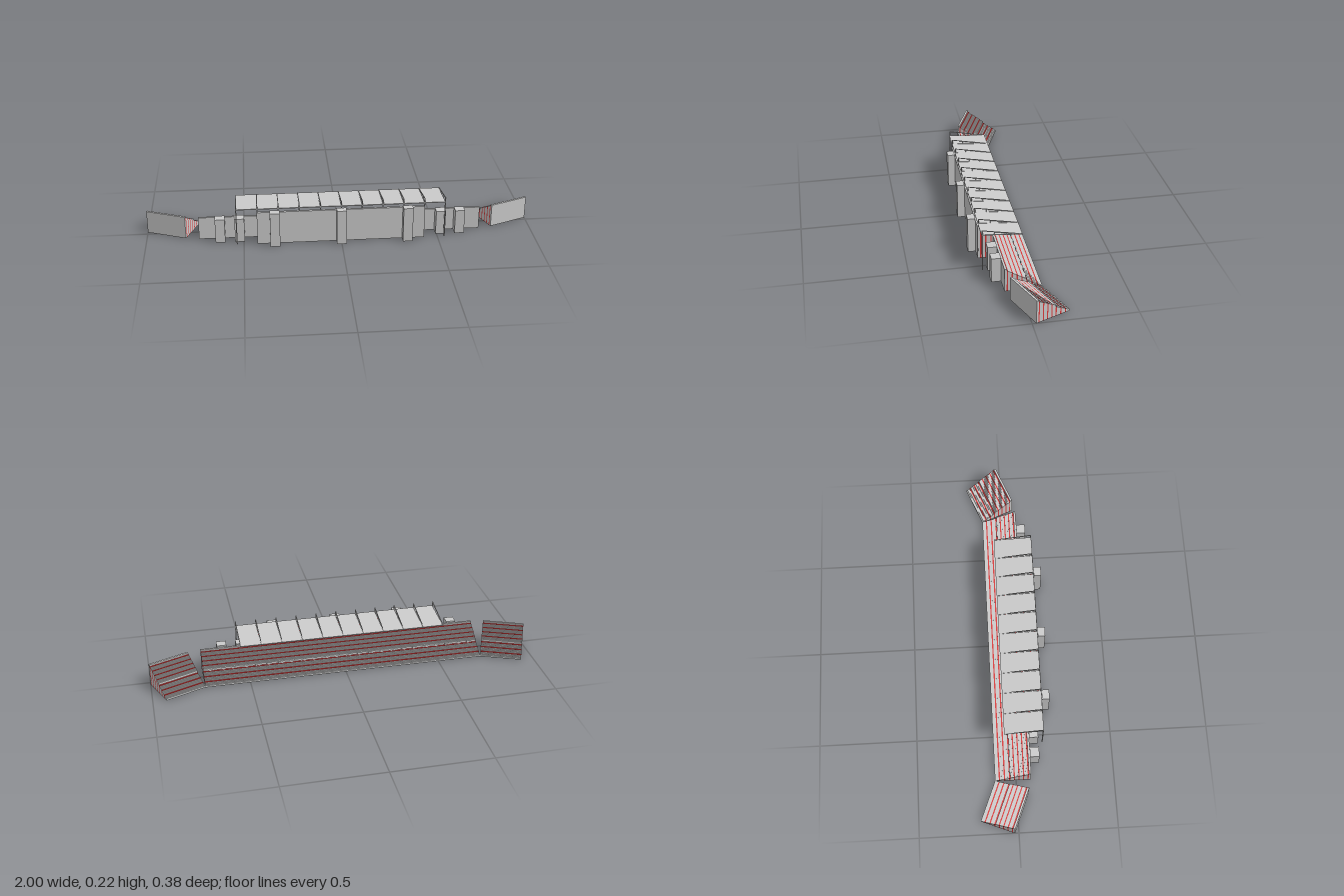
import * as THREE from 'three';

const grey = new THREE.MeshStandardMaterial({ color: 0xcccccc });
const red = new THREE.MeshStandardMaterial({ color: 0xd83a3a });

// Box given by its minimum and maximum corners
function box(parent, name, x0, x1, y0, y1, z0, z1, mat = grey) {
  const mesh = new THREE.Mesh(new THREE.BoxGeometry(x1 - x0, y1 - y0, z1 - z0), mat);
  mesh.position.set((x0 + x1) / 2, (y0 + y1) / 2, (z0 + z1) / 2);
  mesh.name = name;
  parent.add(mesh);
  return mesh;
}

// Bar in the y-z plane between two points [y, z], with its top face along the line
function bar(parent, name, x, width, thick, [ya, za], [yb, zb]) {
  const length = Math.hypot(yb - ya, zb - za);
  const mesh = new THREE.Mesh(new THREE.BoxGeometry(width, thick, length), grey);
  mesh.position.set(x, (ya + yb) / 2, (za + zb) / 2);
  mesh.rotation.x = -Math.atan2(yb - ya, zb - za);
  mesh.name = name;
  parent.add(mesh);
}

// Solid rows of terracing, every fourth one red
function tier(parent, name, x0, x1, z0, z1, yLow, yHigh, count, redIndex) {
  const depth = (z1 - z0) / count;
  for (let i = 0; i < count; i++) {
    const y = yLow + (yHigh - yLow) * i / (count - 1);
    const isRed = i % 4 === redIndex;
    box(parent, isRed ? name + 'SeatRow' : name + 'Step', x0, x1, 0, y,
      z0 + i * depth, z0 + (i + 1) * depth, isRed ? red : grey);
  }
}

// Two-tier stand whose lowest row starts at z = 0 and whose back wall ends at z = 0.182
function stand(name, x0, x1) {
  const group = new THREE.Group();
  group.name = name;
  tier(group, 'lower', x0, x1, 0, 0.078, 0.01, 0.05, 12, 3);
  tier(group, 'upper', x0, x1, 0.078, 0.171, 0.062, 0.113, 16, 3);
  box(group, 'backWall', x0, x1, 0, 0.122, 0.171, 0.182);
  return group;
}

export function createModel() {
  const model = new THREE.Group();
  model.name = 'grandstand';

  // Straight main stand
  const main = stand('mainStand', -0.731, 0.731);
  main.position.z = -0.107;
  model.add(main);

  // Short piers along the wall between the two tiers
  for (let i = 0; i < 24; i++) {
    const x = -0.69 + i * 0.06;
    box(main, 'aislePier', x - 0.013, x + 0.013, 0.046, 0.061, 0.074, 0.08);
  }

  // Angled wings at both ends
  const wingLength = 0.217;
  for (const side of [-1, 1]) {
    const wing = stand(side > 0 ? 'leftWing' : 'rightWing',
      side > 0 ? 0 : -wingLength, side > 0 ? wingLength : 0);
    wing.position.set(side * 0.731, 0, -0.107);
    wing.rotation.y = side * THREE.MathUtils.degToRad(22);
    model.add(wing);
  }

  // Raised centre section
  const centre = new THREE.Group();
  centre.name = 'centreStand';
  model.add(centre);
  tier(centre, 'top', -0.43, 0.43, 0.075, 0.139, 0.13, 0.165, 10, 1);
  box(centre, 'centreBackWall', -0.43, 0.43, 0, 0.178, 0.139, 0.151);

  // Stair towers against the back walls
  for (const x of [-0.34, 0, 0.34]) {
    box(model, 'tallTower', x - 0.025, x + 0.025, 0, 0.188, 0.151, 0.189);
  }
  for (const x of [-0.62, -0.52, 0.52, 0.62]) {
    box(model, 'lowTower', x - 0.025, x + 0.025, 0, 0.13, 0.075, 0.122);
  }

  // Roof: eleven frames carrying ten sloping panels
  const roof = new THREE.Group();
  roof.name = 'roof';
  model.add(roof);
  const bays = 10, halfWidth = 0.535, bay = 2 * halfWidth / bays;
  const lowerY = z => 0.181 + (z + 0.05) * 0.08;
  const upperY = z => 0.183 + (z + 0.05) * 0.195;
  for (let i = 0; i <= bays; i++) {
    const x = -halfWidth + i * bay;
    box(roof, 'post', x - 0.0025, x + 0.0025, 0, 0.222, 0.143, 0.148);
    bar(roof, 'topChord', x, 0.004, 0.003, [upperY(-0.05), -0.05], [upperY(0.145), 0.145]);
    for (const z of [0.03, 0.088]) {
      box(roof, 'strut', x - 0.001, x + 0.001, lowerY(z), upperY(z), z - 0.001, z + 0.001);
    }
    if (i < bays) {
      bar(roof, 'roofPanel', x + bay / 2, bay - 0.002, 0.004, [lowerY(-0.05), -0.05], [lowerY(0.149), 0.149]);
    }
  }

  return model;
}
